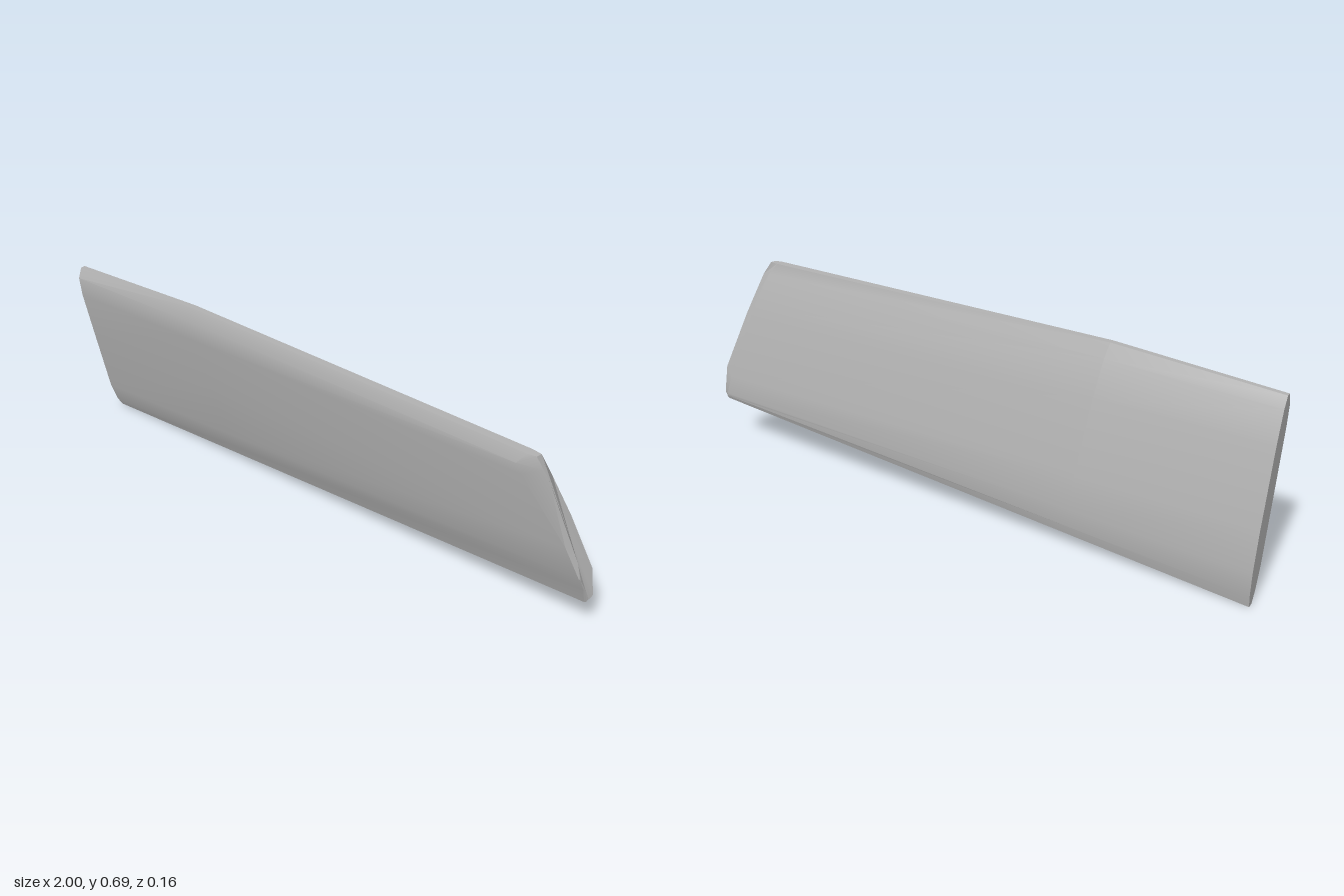
import * as THREE from 'three';
import { toCreasedNormals } from 'three/addons/utils/BufferGeometryUtils.js';

// Each rail runs along the panel: root [y, z], rim [x, y, z], tip face [x, y, z],
// and a small rise of the top edge part of the way along.
// Order: up the front, over the top, down the back.
const RAILS = [
  [[0, -0.048], [0.985, 0.176, -0.049], [0.99, 0.177, -0.052], 0],
  [[0.035, -0.028], [0.985, 0.24, -0.028], [0.99, 0.235, -0.033], 0],
  [[0.11, -0.003], [0.975, 0.29, -0.006], [0.98, 0.285, -0.01], 0],
  [[0.35, 0.042], [0.93, 0.4, 0.018], [0.965, 0.345, -0.005], 0],
  [[0.53, 0.075], [0.79, 0.62, 0.069], [0.865, 0.63, 0.05], 0],
  [[0.6, 0.081], [0.775, 0.655, 0.076], [0.85, 0.655, 0.055], 0.01],
  [[0.635, 0.066], [0.8, 0.69, 0.063], [0.825, 0.69, 0.058], 0.023],
  [[0.635, 0.05], [0.8, 0.69, 0.036], [0.83, 0.69, 0.04], 0.023],
  [[0.6, 0.03], [0.83, 0.65, 0.022], [0.87, 0.64, 0.042], 0.012],
  [[0.5, 0], [0.88, 0.53, -0.012], [0.92, 0.5, -0.005], 0],
  [[0.25, -0.055], [0.96, 0.27, -0.073], [0.985, 0.3, -0.063], 0],
  [[0.12, -0.075], [0.98, 0.2, -0.08], [1, 0.2, -0.068], 0],
  [[0.04, -0.076], [0.985, 0.19, -0.078], [0.995, 0.185, -0.067], 0],
  [[0, -0.069], [0.985, 0.176, -0.07], [0.99, 0.177, -0.066], 0],
];

// Lofts a skin through closed loops and closes both ends with a fan
function loft(loops) {
  const n = loops[0].length;
  const points = loops.flat();
  const index = [];
  for (let s = 0; s < loops.length - 1; s++) {
    for (let i = 0; i < n; i++) {
      const j = (i + 1) % n;
      const a = s * n + i, b = a + n, c = (s + 1) * n + j, d = s * n + j;
      index.push(a, b, c, a, c, d);
    }
  }
  for (const s of [0, loops.length - 1]) {
    const centre = new THREE.Vector3();
    loops[s].forEach((p) => centre.addScaledVector(p, 1 / n));
    const k = points.push(centre) - 1;
    for (let i = 0; i < n; i++) {
      const a = s * n + i, b = s * n + ((i + 1) % n);
      if (s === 0) index.push(k, a, b);
      else index.push(k, b, a);
    }
  }
  const geometry = new THREE.BufferGeometry().setFromPoints(points);
  geometry.setIndex(index);
  return toCreasedNormals(geometry, THREE.MathUtils.degToRad(28));
}

export function createModel() {
  const model = new THREE.Group();
  model.name = 'taperedPanel';
  const grey = new THREE.MeshStandardMaterial({ color: 0xb2b2b2 });
  grey.name = 'plain grey';

  const root = RAILS.map(([r]) => new THREE.Vector3(-1, r[0], r[1]));
  const rim = RAILS.map(([, e]) => new THREE.Vector3(...e));
  const tip = RAILS.map(([, , t]) => new THREE.Vector3(...t));

  // Intermediate section where the top edge changes slope
  const shoulder = RAILS.map(([, , , rise], i) => {
    const p = root[i].clone().lerp(rim[i], 0.3);
    p.y += rise;
    return p;
  });

  // Slanted blade with bevelled edges and a chamfered tip
  const blade = new THREE.Mesh(loft([root, shoulder, rim, tip]), grey);
  blade.name = 'blade';
  model.add(blade);
  return model;
}
